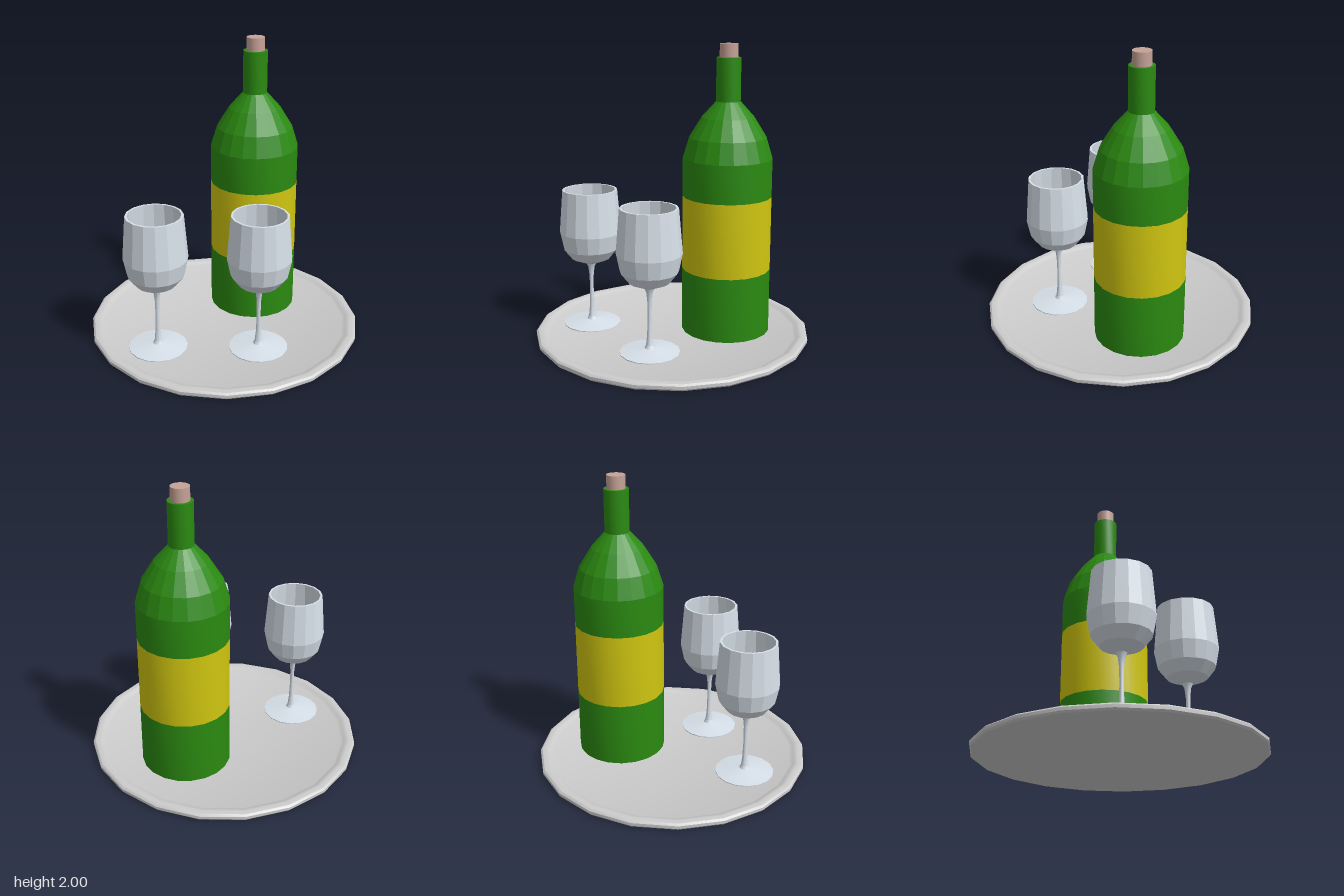
import * as THREE from 'three';
import { toCreasedNormals } from 'three/addons/utils/BufferGeometryUtils.js';

const FLOOR = 0.026; // tray surface that everything stands on

const material = (color, flatShading = false) => new THREE.MeshStandardMaterial({ color, flatShading });
const grey = material(0xcccccc);
const green = material(0x2b8a11);
const greenFacets = material(0x2b8a11, true);
const yellow = material(0xd0c610);
const corkTone = material(0xc5a296);
const glass = material(0xd6dfe8);
const glassFacets = material(0xd6dfe8, true);

// Turned part: profile of [radius, height] pairs running from the bottom outside upwards
function turned(name, profile, sides, mat) {
  const points = profile.map(([r, y]) => new THREE.Vector2(r, y));
  let geometry = new THREE.LatheGeometry(points, sides);
  if (!mat.flatShading) geometry = toCreasedNormals(geometry, Math.PI / 6);
  const mesh = new THREE.Mesh(geometry, mat);
  mesh.name = name;
  return mesh;
}

function createTray() {
  return turned('tray', [
    [0, 0], [0.935, 0], [0.945, 0.012], [0.945, 0.032], [0.932, 0.043], [0.905, 0.047],
    [0.885, 0.043], [0.87, 0.034], [0.85, FLOOR], [0, FLOOR],
  ], 20, grey);
}

function createBottle() {
  const bottle = new THREE.Group();
  bottle.name = 'bottle';
  const sides = 20, r = 0.305, neck = 0.083;
  bottle.add(
    turned('lowerBody', [[0, FLOOR], [r, FLOOR], [r, 0.47]], sides, green),
    turned('label', [[r, 0.47], [r, 0.98]], sides, yellow),
    turned('upperBody', [[r, 0.98], [r, 1.24]], sides, green),
    turned('shoulder', [[r, 1.24], [0.262, 1.38], [0.178, 1.515], [neck, 1.62]], sides, greenFacets),
    turned('neck', [[neck, 1.62], [neck, 1.91], [0.06, 1.91]], sides, green),
    turned('cork', [[0.062, 1.85], [0.062, 2], [0, 2]], sides, corkTone),
  );
  return bottle;
}

function createGlass(name) {
  const group = new THREE.Group();
  group.name = name;
  const sides = 16;
  group.add(
    turned('foot', [[0, FLOOR], [0.2, FLOOR], [0.2, 0.032], [0.1, 0.046], [0.035, 0.056]], sides, glass),
    turned('stem', [
      [0.035, 0.056], [0.025, 0.075], [0.017, 0.15], [0.013, 0.28], [0.015, 0.38], [0.022, 0.44], [0.035, 0.468],
    ], sides, glass),
    // Outer wall, rim, then the inner wall down to a level base
    turned('bowl', [
      [0.035, 0.468], [0.135, 0.51], [0.19, 0.58], [0.215, 0.7], [0.19, 1],
      [0.175, 1], [0.2, 0.7], [0.178, 0.59], [0, 0.59],
    ], sides, glassFacets),
  );
  return group;
}

export function createModel() {
  const model = new THREE.Group();
  model.name = 'trayWithBottleAndGlasses';

  const bottle = createBottle();
  bottle.position.set(0.11, 0, -0.36);

  const rightGlass = createGlass('rightGlass');
  rightGlass.position.set(-0.32, 0, 0.485);

  const leftGlass = createGlass('leftGlass');
  leftGlass.position.set(0.33, 0, 0.29);

  model.add(createTray(), bottle, rightGlass, leftGlass);
  return model;
}
